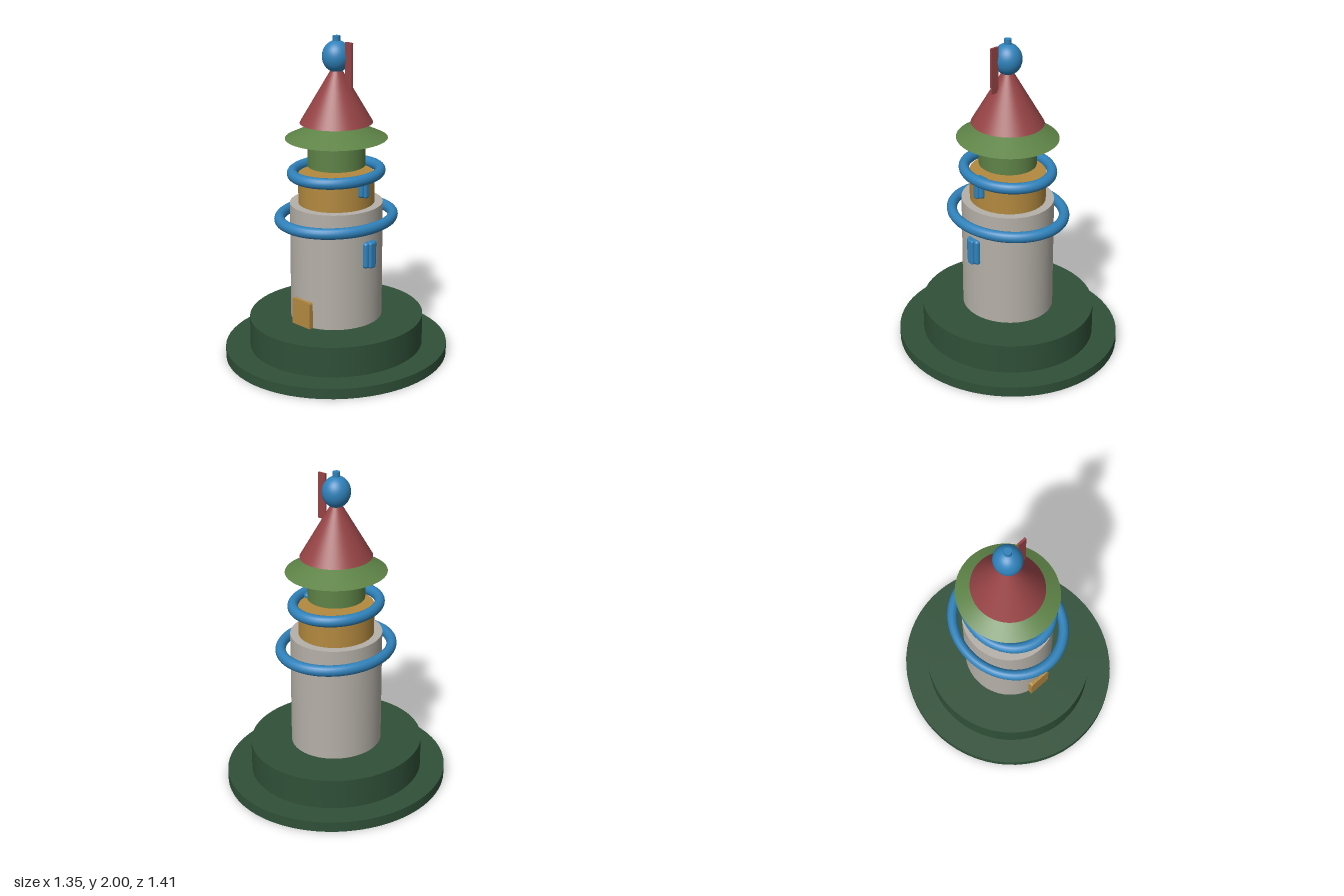
import * as THREE from 'three';
import { RoundedBoxGeometry } from 'three/addons/geometries/RoundedBoxGeometry.js';

const mat = (name, color) => new THREE.MeshStandardMaterial({ name, color });

export function createModel() {
  const hillGreen = mat('hill green', 0x2f5038);
  const stone = mat('stone grey', 0xb5b0a8);
  const ochre = mat('ochre', 0xb3893f);
  const leaf = mat('leaf green', 0x5e8347);
  const red = mat('roof red', 0x964345);
  const blue = mat('trim blue', 0x2f82bb);

  const model = new THREE.Group();
  model.name = 'lighthouse';
  const add = (name, geometry, material, x = 0, y = 0, z = 0) => {
    const mesh = new THREE.Mesh(geometry, material);
    mesh.name = name;
    mesh.position.set(x, y, z);
    model.add(mesh);
    return mesh;
  };

  // Oval drum or cone from height y0 to y1, with half widths rx and rz
  const drum = (name, material, rx, rz, y0, y1, top = 1, sides = 64) =>
    add(name, new THREE.CylinderGeometry(top, 1, y1 - y0, sides).scale(rx, 1, rz), material, 0, (y0 + y1) / 2);

  // Stepped ground
  drum('groundDisc', hillGreen, 0.676, 0.706, 0, 0.065);
  drum('groundStep', hillGreen, 0.526, 0.55, 0.065, 0.255);

  // Tower tiers
  drum('tower', stone, 0.275, 0.29, 0.255, 0.985);
  drum('upperTier', ochre, 0.226, 0.237, 0.985, 1.165);
  drum('lanternRoom', leaf, 0.171, 0.179, 1.215, 1.39);

  // Eave and pointed roof
  drum('eave', leaf, 0.302, 0.315, 1.385, 1.53, 0);
  drum('roof', red, 0.214, 0.225, 1.48, 1.855, 0);

  // Oval gallery rails
  const rail = (name, rx, rz, y) => {
    const geometry = new THREE.TorusGeometry(rz, 0.034, 16, 64).rotateX(Math.PI / 2);
    add(name, geometry.scale(rx / rz, 1, 1), blue, 0, y);
  };
  rail('lowerRail', 0.321, 0.368, 0.893);
  rail('upperRail', 0.248, 0.284, 1.175);

  // Ball, tip and flag
  add('roofBall', new THREE.SphereGeometry(1, 32, 24).scale(0.084, 0.095, 0.088), blue, 0, 1.878);
  drum('tip', blue, 0.022, 0.023, 1.94, 2, 1, 16);
  add('flag', new THREE.BoxGeometry(0.054, 0.28, 0.013), red, 0.103, 1.832);

  // Door with softened top corners
  const w = 0.074, h = 0.168, r = 0.018;
  const door = new THREE.Shape();
  door.moveTo(-w, 0).lineTo(w, 0).lineTo(w, h - r);
  door.quadraticCurveTo(w, h, w - r, h);
  door.lineTo(-w + r, h);
  door.quadraticCurveTo(-w, h, -w, h - r);
  door.closePath();
  add('door', new THREE.ExtrudeGeometry(door, { depth: 0.05, bevelEnabled: false }), ochre, 0, 0.255, 0.258);

  // Side windows: rounded frame with a raised middle bar
  const sideWindow = (name, x, y, height, width) => {
    add(name + 'Frame', new RoundedBoxGeometry(0.06, height, width, 3, 0.018), blue, x - 0.045, y);
    add(name + 'Bar', new RoundedBoxGeometry(0.05, height, width * 0.5, 3, 0.012), blue, x - 0.025, y);
  };
  sideWindow('lowerWindow', 0.312, 0.713, 0.165, 0.1);
  sideWindow('upperWindow', 0.262, 1.125, 0.13, 0.08);

  return model;
}
